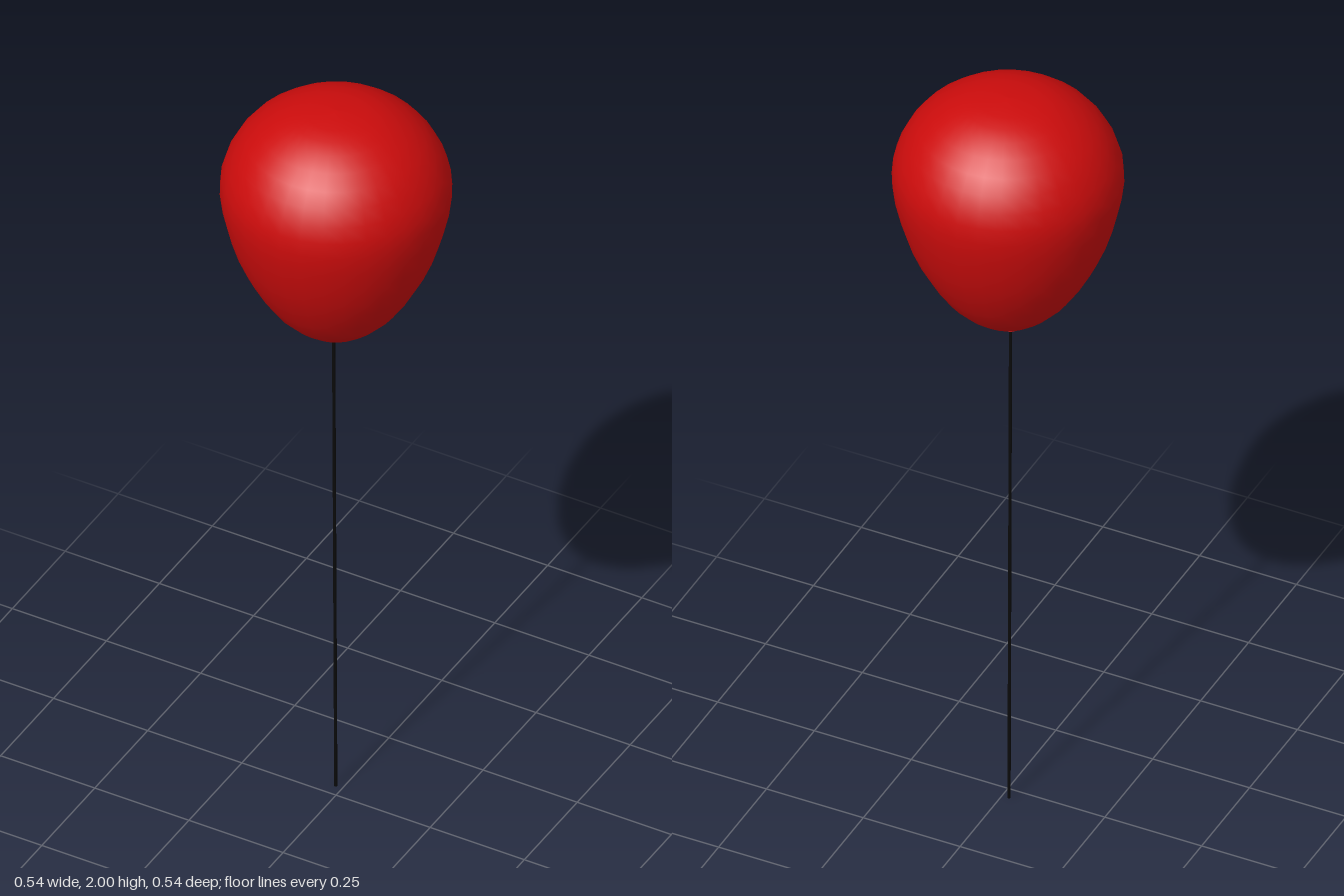
import * as THREE from 'three';

export function createModel() {
  const model = new THREE.Group();
  const red = new THREE.MeshStandardMaterial({ color: 0xcc0c0c });
  const black = new THREE.MeshStandardMaterial({ color: 0x0a0a0a });
  const add = (name, geometry, material) => {
    const mesh = new THREE.Mesh(geometry, material);
    mesh.name = name;
    model.add(mesh);
    return mesh;
  };

  // Balloon body: smooth rounded profile, fuller at the top, turned in 32 sides
  const outline = new THREE.SplineCurve([
    [0, 1.36], [0.045, 1.367], [0.085, 1.387], [0.15, 1.45], [0.212, 1.555],
    [0.25, 1.66], [0.27, 1.77], [0.255, 1.85], [0.21, 1.921], [0.14, 1.972],
    [0.07, 1.994], [0, 2],
  ].map(([r, y]) => new THREE.Vector2(r, y)));
  const profile = outline.getPoints(22);
  profile.forEach((p) => { p.x = Math.max(p.x, 0); });
  add('balloon', new THREE.LatheGeometry(profile, 32), red);

  // Tied neck: small flared cone just under the body
  const knot = add('knot', new THREE.CylinderGeometry(0.007, 0.019, 0.03, 16), red);
  knot.position.set(-0.006, 1.353, 0);

  // String: thin, leaning slightly to one side and back
  const string = new THREE.LineCurve3(
    new THREE.Vector3(-0.008, 1.352, -0.003),
    new THREE.Vector3(-0.018, 0, -0.031),
  );
  add('string', new THREE.TubeGeometry(string, 8, 0.004, 8), black);

  return model;
}
